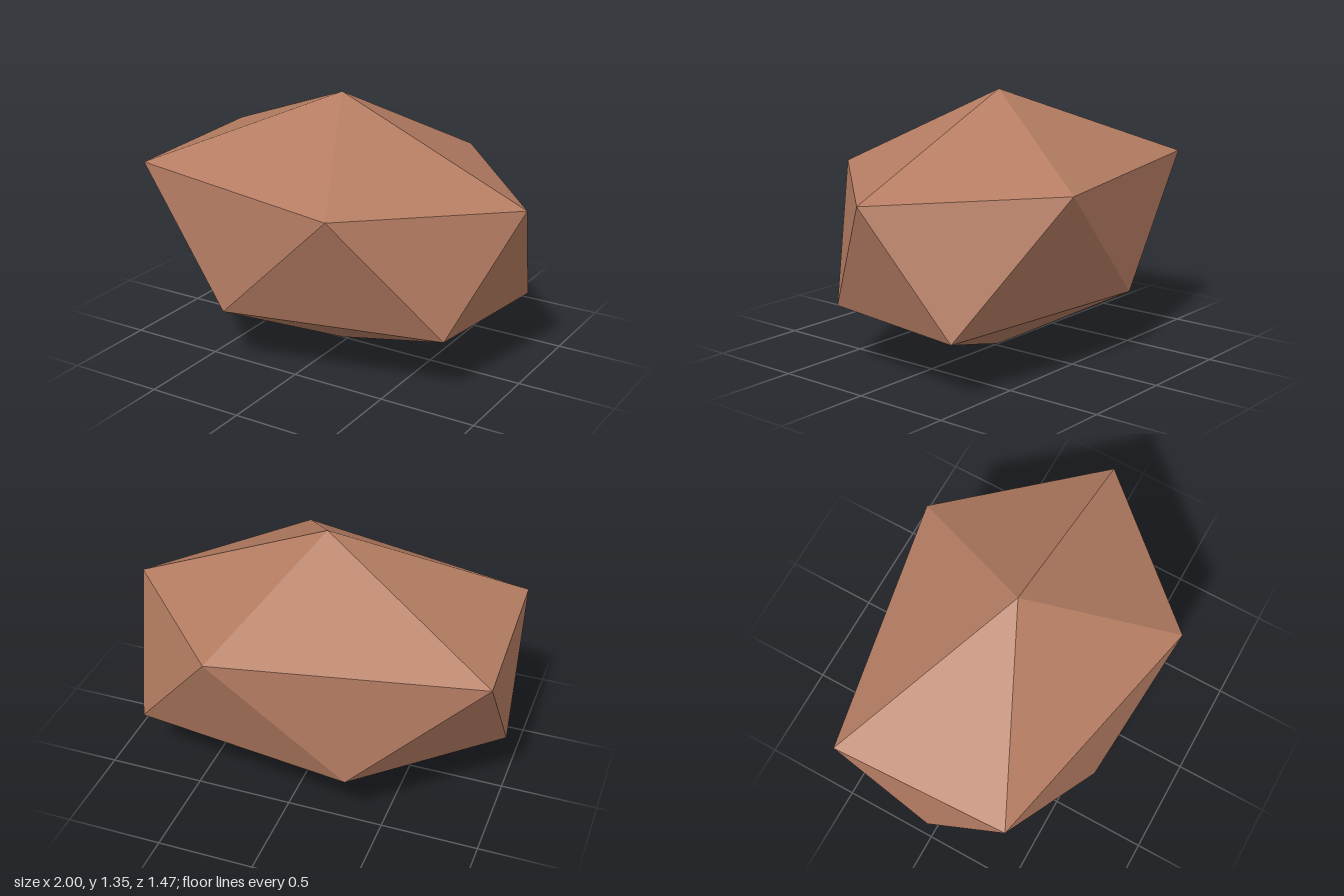
import * as THREE from 'three';

export function createModel() {
  const group = new THREE.Group();
  group.name = 'rock';
  const clay = new THREE.MeshStandardMaterial({ color: 0xb47c62 });
  clay.name = 'clay brown';
  clay.flatShading = true;

  // Stretched icosahedron: two poles and two staggered five-corner rings
  const top = [-0.03, 1.35, 0];
  const bottom = [-0.03, 0, 0];
  const upper = [
    [1, 0.91, 0], [0.33, 0.95, 0.73], [-0.96, 0.945, 0.445],
    [-1, 0.955, -0.475], [0.33, 0.945, -0.735],
  ];
  const lower = [
    [0.77, 0.32, 0.38], [-0.34, 0.315, 0.63], [-1, 0.325, 0],
    [-0.34, 0.325, -0.61], [0.84, 0.295, -0.425],
  ];

  // Cap, two rows of side facets and base, one fifth at a time
  const corners = [];
  for (let i = 0; i < 5; i++) {
    const n = (i + 1) % 5;
    corners.push(
      top, upper[n], upper[i],
      upper[i], upper[n], lower[i],
      lower[i], upper[n], lower[n],
      bottom, lower[i], lower[n],
    );
  }

  const geometry = new THREE.BufferGeometry();
  geometry.setAttribute('position', new THREE.Float32BufferAttribute(corners.flat(), 3));
  geometry.computeVertexNormals();

  const stone = new THREE.Mesh(geometry, clay);
  stone.name = 'stone';
  group.add(stone);
  return group;
}
